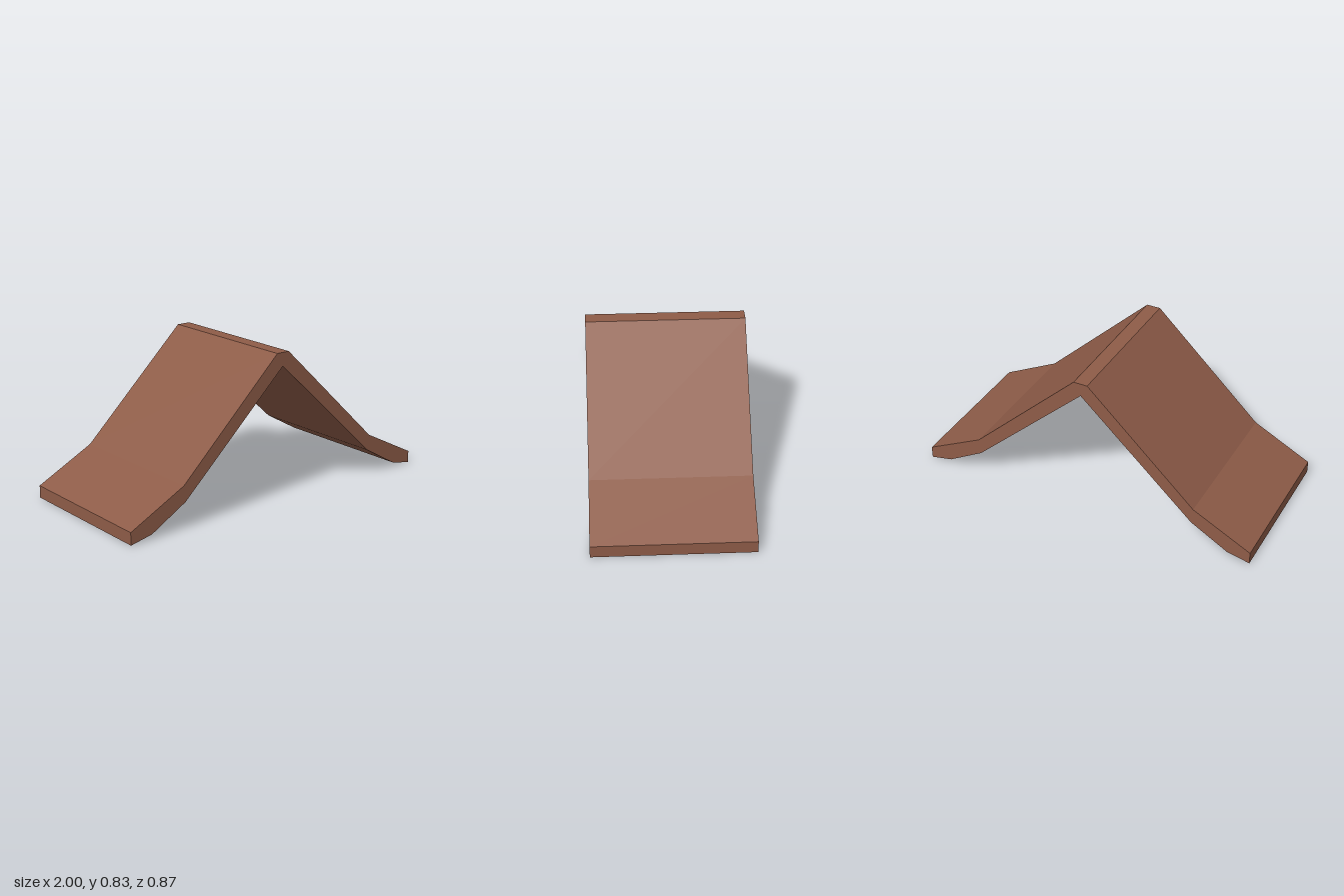
import * as THREE from 'three';

export function createModel() {
  const model = new THREE.Group();
  const terracotta = new THREE.MeshStandardMaterial({ color: 0x8e5c48 });
  terracotta.name = 'terracotta brown';

  // Right half of the section: along the underside from the ridge, back along the top
  const half = [
    [0, 0.76], [0.655, 0.15], [0.87, 0.027], [1, 0],
    [1, 0.07], [0.665, 0.24], [0.04, 0.835],
  ];
  // Mirror to close the outline (the inner ridge point is shared)
  const mirrored = half.slice(1).reverse().map(([x, y]) => [-x, y]);
  const outline = [...half, ...mirrored].map(([x, y]) => new THREE.Vector2(x, y));

  // Gabled roof with flared eaves, extruded along z
  const depth = 0.87;
  const geometry = new THREE.ExtrudeGeometry(new THREE.Shape(outline), {
    depth, bevelEnabled: false,
  });
  geometry.translate(0, 0, -depth / 2);

  const roof = new THREE.Mesh(geometry, terracotta);
  roof.name = 'gableRoof';
  model.add(roof);
  return model;
}
